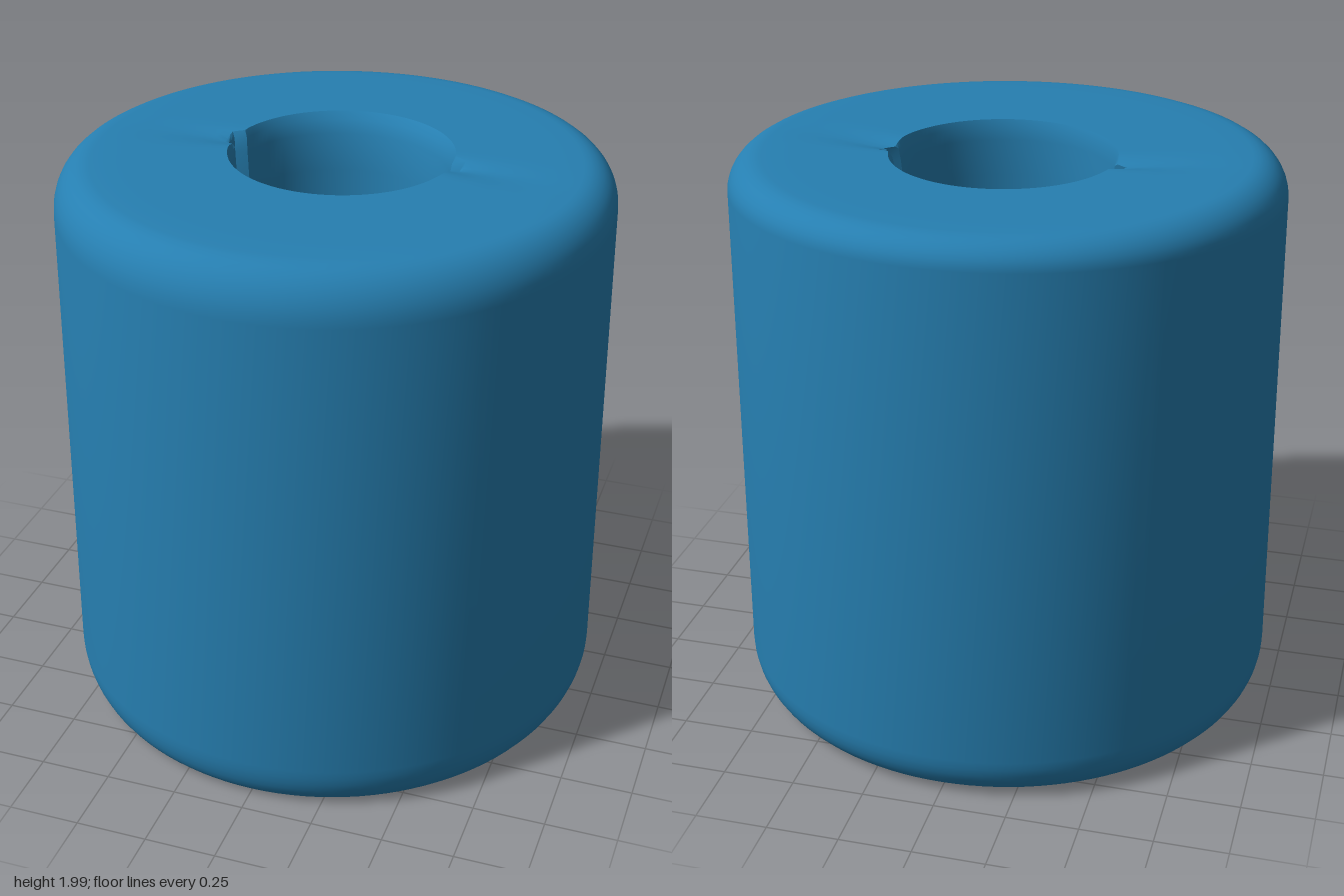
import * as THREE from 'three';
import { toCreasedNormals } from 'three/addons/utils/BufferGeometryUtils.js';

const SIDES = 120;
const lerp = THREE.MathUtils.lerp;

// Piecewise linear lookup in a list of [key, value] pairs
function lookup(table, key) {
  for (let i = 1; i < table.length; i++) {
    const [k0, v0] = table[i - 1], [k1, v1] = table[i];
    if (key <= k1) return lerp(v0, v1, (key - k0) / (k1 - k0));
  }
  return table[table.length - 1][1];
}

// Radius of the uneven bottom opening, by angle in degrees from +x towards +z
const mouth = [[-180, 0.37], [-135, 0.38], [-92, 0.4], [-72, 0.49], [-54, 0.58], [-30, 0.47], [0, 0.43],
  [35, 0.47], [65, 0.57], [80, 0.45], [100, 0.4], [129, 0.38], [180, 0.37]];

// Bore levels from the top down: height, half width in x, front z, back z
const boreLevels = [[2, 0.385, 0.315, 0.445], [1.975, 0.375, 0.305, 0.42], [1.93, 0.37, 0.3, 0.4],
  [1.8, 0.36, 0.3, 0.385], [1, 0.355, 0.295, 0.36], [0.5, 0.35, 0.29, 0.345], [0.22, 0.35, 0.29, 0.34]];

// Outer wall radius, leaning slightly inwards at the front
function wall(a, y) {
  const front = Math.max(0, Math.sin(a)) ** 2;
  return 0.955 - 0.006 * y - front * 0.01 * y + front * 0.005;
}

function outerPoint(a, t, top) {
  const s = Math.sin(a);
  const inset = top ? 0.12 + 0.015 * s : 0.12 - 0.04 * Math.max(0, s);
  const drop = top ? 0.13 + 0.04 * s : 0.16;
  const y = top ? 2 - drop * (1 - Math.sin(t)) : 0.008 + drop * (1 - Math.cos(t));
  const r = wall(a, y) - inset * (1 - (top ? Math.cos(t) : Math.sin(t)));
  return [r * Math.cos(a), y, r * s];
}

function borePoint(a, [y, rx, front, back]) {
  const c = Math.cos(a), s = Math.sin(a);
  // Narrow seam slots on both sides of the bore
  const slot = Math.abs(s + 0.06) < 0.11 ? 0.035 : 0;
  return [(rx + slot) * c, y, s * (front + back) / 2 + (front - back) / 2];
}

function mouthPoint(a, y, mix) {
  const deg = THREE.MathUtils.radToDeg(Math.atan2(Math.sin(a), Math.cos(a)));
  const r = lookup(mouth, deg);
  const inner = borePoint(a, boreLevels[boreLevels.length - 1]);
  return [lerp(inner[0], r * Math.cos(a), mix), y, lerp(inner[2], r * Math.sin(a), mix)];
}

// Top face with a shallow groove running out from each seam slot
function topPoint(a, mix) {
  const inner = borePoint(a, boreLevels[0]), outer = outerPoint(a, Math.PI / 2, true);
  const groove = 0.02 * Math.exp(-((Math.sin(a) / 0.13) ** 2)) * (1 - mix) ** 2;
  return [lerp(inner[0], outer[0], mix), 2 - groove, lerp(inner[2], outer[2], mix)];
}

function bottomPoint(a, mix) {
  const inner = mouthPoint(a, 0.008, 1), outer = outerPoint(a, 0, false);
  return inner.map((v, i) => lerp(v, outer[i], mix));
}

function buildTube() {
  // Cross-section ring functions, in order around the wall of the tube
  const rings = [];
  const STEPS = 8;
  for (let i = 0; i <= STEPS; i++) rings.push(a => outerPoint(a, i / STEPS * Math.PI / 2, false));
  for (let i = 0; i <= STEPS; i++) rings.push(a => outerPoint(a, i / STEPS * Math.PI / 2, true));
  for (const mix of [0.75, 0.5, 0.25, 0.1]) rings.push(a => topPoint(a, mix));
  rings.push(a => {
    const p = borePoint(a, boreLevels[0]);
    p[1] = topPoint(a, 0)[1];
    return p;
  });
  for (const level of boreLevels.slice(1)) rings.push(a => borePoint(a, level));
  rings.push(a => mouthPoint(a, 0.18, 0.5));
  rings.push(a => mouthPoint(a, 0.1, 0.85));
  rings.push(a => mouthPoint(a, 0.008, 1));
  rings.push(a => bottomPoint(a, 0.5));

  const positions = [], index = [];
  for (const ring of rings) {
    for (let j = 0; j < SIDES; j++) positions.push(...ring(j / SIDES * Math.PI * 2));
  }
  for (let i = 0; i < rings.length; i++) {
    const n = (i + 1) % rings.length;
    for (let j = 0; j < SIDES; j++) {
      const k = (j + 1) % SIDES;
      const p = i * SIDES + j, q = i * SIDES + k, u = n * SIDES + j, v = n * SIDES + k;
      index.push(p, u, q, q, u, v);
    }
  }
  const geometry = new THREE.BufferGeometry();
  geometry.setAttribute('position', new THREE.Float32BufferAttribute(positions, 3));
  geometry.setIndex(index);
  return toCreasedNormals(geometry, 0.6);
}

export function createModel() {
  const group = new THREE.Group();
  group.name = 'hollowCylinder';
  const blue = new THREE.MeshStandardMaterial({ color: 0x267fb1 });
  blue.name = 'blue';
  const tube = new THREE.Mesh(buildTube(), blue);
  tube.name = 'thickTube';
  group.add(tube);
  return group;
}
